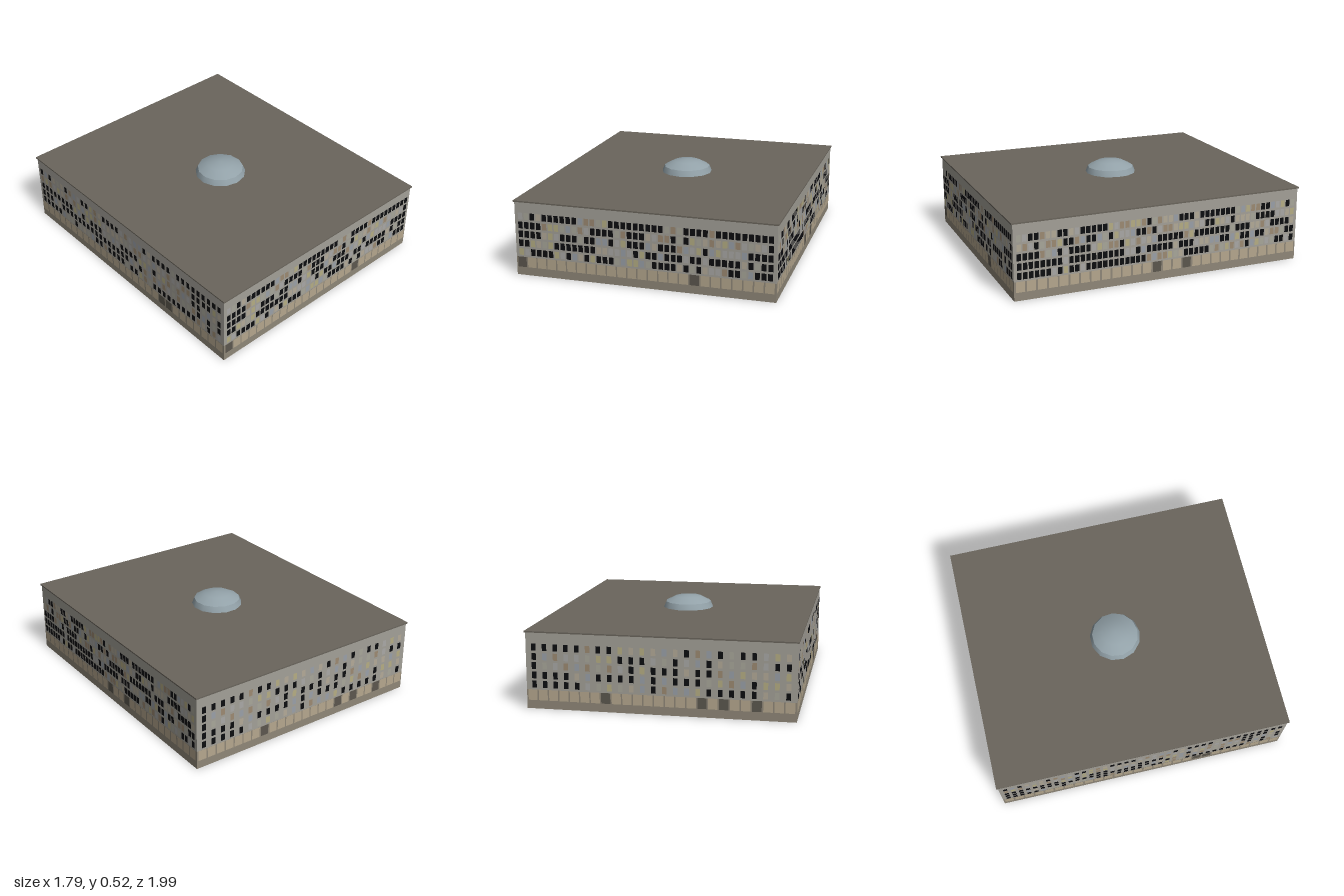
import * as THREE from 'three';
import { mergeGeometries, toCreasedNormals } from 'three/addons/utils/BufferGeometryUtils.js';

const W = 1.52, D = 1.76;            // wall footprint
const BAND = 0.11, WALL = 0.44;      // ground floor height, wall height
const TURN = 0.158;                  // building turned on its plot

const mat = (color, side = THREE.FrontSide) => {
  const m = new THREE.MeshStandardMaterial({ side });
  m.color.set(color);
  return m;
};
const wallMat = mat(0xa3a098, THREE.DoubleSide);
const bandMat = mat(0x8f8778, THREE.DoubleSide);
const black = mat(0x0c0d10);
const lit = [0xb3aa98, 0xa8a79a, 0x9aa0a8, 0xb5ad84, 0x9c8a72, 0xa9a8a6].map(c => mat(c));
const shop = mat(0xb5a78e), shopDark = mat(0x5c574e);

let seed = 7;
const rand = () => (seed = (seed * 16807) % 2147483647) / 2147483647;

function add(parent, name, geometry, material) {
  const mesh = new THREE.Mesh(geometry, material);
  mesh.name = name;
  parent.add(mesh);
  return mesh;
}

// One facade facing +z: wall, ground-floor band, shop panes, five rows of windows
function facade(name, width, columns, paneWidth) {
  const g = new THREE.Group();
  g.name = name;
  add(g, 'upperWall', new THREE.PlaneGeometry(width, WALL - BAND).translate(0, (WALL + BAND) / 2, 0), wallMat);
  add(g, 'groundFloorWall', new THREE.PlaneGeometry(width, BAND).translate(0, BAND / 2, 0), bandMat);

  const panes = new Map();
  const pane = (x, y, w, h, m) => {
    if (!panes.has(m)) panes.set(m, []);
    panes.get(m).push(new THREE.PlaneGeometry(w, h).translate(x, y, 0.002));
  };

  // Shop panes
  const shops = Math.round(width / 0.062);
  for (let i = 0; i < shops; i++) {
    const x = ((i + 0.5) / shops - 0.5) * (width - 0.01);
    pane(x, 0.08, 0.052, 0.062, rand() < 0.1 ? shopDark : shop);
  }

  // Upper windows, dark or lit in short runs
  [0.5, 0.68, 0.42, 0.36, 0.55].forEach((darkness, row) => {
    let dark = true;
    for (let i = 0; i < columns; i++) {
      if (rand() < 0.7) dark = rand() < darkness;
      const x = ((i + 0.5) / columns - 0.5) * (width - 0.03);
      const m = dark ? black : lit[Math.floor(rand() * lit.length)];
      pane(x, 0.142 + row * 0.0535, paneWidth, 0.04, m);
    }
  });

  for (const [m, list] of panes) {
    const isShop = m === shop || m === shopDark;
    add(g, isShop ? 'shopPanes' : 'windows', mergeGeometries(list), m);
  }
  return g;
}

export function createModel() {
  const model = new THREE.Group();
  model.name = 'building';
  const body = new THREE.Group();
  body.name = 'body';
  body.rotation.y = TURN;
  model.add(body);

  // Four facades around an open-bottomed shell
  const sides = [
    ['frontFacade', W, 41, 0.027, 0, D / 2],
    ['leftFacade', D, 52, 0.025, 1, W / 2],
    ['backFacade', W, 24, 0.026, 2, D / 2],
    ['rightFacade', D, 40, 0.025, 3, W / 2],
  ];
  for (const [name, width, columns, paneWidth, turn, distance] of sides) {
    const wall = facade(name, width, columns, paneWidth);
    wall.rotation.y = turn * Math.PI / 2;
    wall.position.set(Math.sin(wall.rotation.y) * distance, 0, Math.cos(wall.rotation.y) * distance);
    body.add(wall);
  }

  // Flat roof with a thin overhanging edge
  add(body, 'roof', new THREE.BoxGeometry(W + 0.012, 0.008, D + 0.016), mat(0x6a655c)).position.y = 0.443;

  // Shallow faceted dome
  const profile = [[0.155, 0.445], [0.14, 0.482], [0.08, 0.513], [0, 0.524]]
    .map(([r, y]) => new THREE.Vector2(r, y));
  add(body, 'dome', toCreasedNormals(new THREE.LatheGeometry(profile, 13), 0.6), mat(0x93a2a9, THREE.DoubleSide));

  return model;
}
